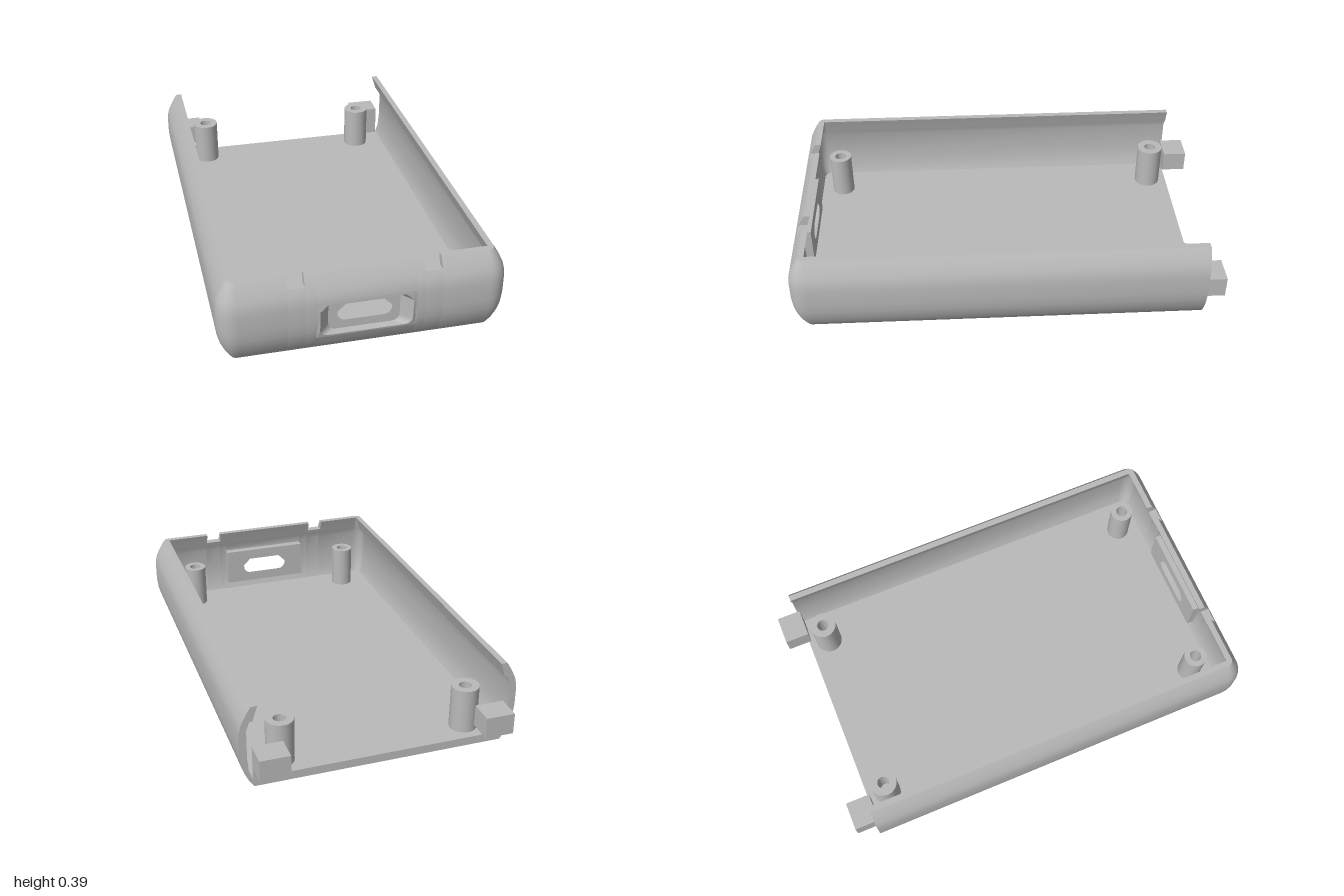
import * as THREE from 'three';
import { toCreasedNormals } from 'three/addons/utils/BufferGeometryUtils.js';

const AX = 0.547, AZ = 0.917, BACK = -0.9, TOP = 0.39, FLOOR = 0.04;

// Wall cross-section as [height, distance outward from the inner rim line]
const OUTER = [[0, 0.023], [0.02, 0.037], [0.04, 0.049], [0.08, 0.067], [0.12, 0.078], [0.17, 0.083],
  [0.25, 0.083], [0.28, 0.08], [0.31, 0.072], [0.345, 0.055], [0.37, 0.041], [TOP, 0.028]];
const INNER = [[0, 0], [FLOOR, 0], [FLOOR, 0.03], [0.08, 0.044], [0.15, 0.05], [0.28, 0.05],
  [0.32, 0.035], [0.32, 0.022], [0.36, 0.01], [TOP, 0]];

function distanceAt(line, y) {
  for (let i = 1; i < line.length; i++) {
    const [ya, da] = line[i - 1], [yb, db] = line[i];
    if (y <= yb && yb > ya) return da + (db - da) * (y - ya) / (yb - ya);
  }
  return line[line.length - 1][1];
}

function clip(line, y0, y1) {
  const inside = line.filter(([y]) => y > y0 && y < y1);
  return [[y0, distanceAt(line, y0)], ...inside, [y1, distanceAt(line, y1)]]
    .map(([y, d]) => new THREE.Vector2(d, y));
}

const section = (y0, y1) => [...clip(OUTER, y0, y1), ...clip(INNER, y0, y1).reverse()];

// Straight piece of wall between two heights
function wallPiece(length, y0 = 0, y1 = TOP) {
  return new THREE.ExtrudeGeometry(new THREE.Shape(section(y0, y1)), { depth: length, bevelEnabled: false });
}

// Port outline: chamfered top corners, rounded bottom corners
function portPoints(x0, x1, y0, y1, c) {
  const pts = [[x0, y1 - c], [x0 + c, y1], [x1 - c, y1], [x1, y1 - c]];
  for (let i = 0; i <= 6; i++) {
    const a = -i * Math.PI / 12;
    pts.push([x1 - c + c * Math.cos(a), y0 + c + c * Math.sin(a)]);
  }
  for (let i = 0; i <= 6; i++) {
    const a = -Math.PI / 2 - i * Math.PI / 12;
    pts.push([x0 + c + c * Math.cos(a), y0 + c + c * Math.sin(a)]);
  }
  return pts.map(([x, y]) => new THREE.Vector2(x, y));
}

function rectShape(x0, x1, y0, y1) {
  return new THREE.Shape([[x0, y0], [x1, y0], [x1, y1], [x0, y1]].map(p => new THREE.Vector2(...p)));
}

// Sloping band joining two matching outlines at different depths
function loft(a, za, b, zb) {
  const pos = [];
  for (let i = 0; i < a.length; i++) {
    const j = (i + 1) % a.length;
    const p = [[a[i], za], [a[j], za], [b[j], zb], [a[i], za], [b[j], zb], [b[i], zb]];
    p.forEach(([v, z]) => pos.push(v.x, v.y, typeof z === 'function' ? z(v.y) : z));
  }
  const g = new THREE.BufferGeometry();
  g.setAttribute('position', new THREE.Float32BufferAttribute(pos, 3));
  return g;
}

export function createModel() {
  const group = new THREE.Group();
  const grey = new THREE.MeshStandardMaterial({ name: 'grey plastic', color: 0xbababa });
  const greyOpen = new THREE.MeshStandardMaterial({ name: 'grey plastic', color: 0xbababa, side: THREE.DoubleSide });
  const add = (name, geometry, material = grey) => {
    const mesh = new THREE.Mesh(toCreasedNormals(geometry, 0.5), material);
    mesh.name = name;
    group.add(mesh);
    return mesh;
  };
  const addBox = (name, x0, x1, y0, y1, z0, z1) => add(name,
    new THREE.BoxGeometry(x1 - x0, y1 - y0, z1 - z0).translate((x0 + x1) / 2, (y0 + y1) / 2, (z0 + z1) / 2));

  // Floor plate
  addBox('floor', -AX, AX, 0, FLOOR, BACK, AZ);

  // Long side walls
  add('leftWall', wallPiece(AZ - BACK).translate(AX, 0, BACK));
  add('rightWall', wallPiece(AZ - BACK).rotateY(Math.PI).translate(-AX, 0, AZ));

  // Rounded front corners
  const loop = section(0, TOP);
  loop.push(loop[0].clone());
  add('leftCorner', new THREE.LatheGeometry(loop, 12, 0, Math.PI / 2).translate(AX, 0, AZ));
  add('rightCorner', new THREE.LatheGeometry(loop, 12, -Math.PI / 2, Math.PI / 2).translate(-AX, 0, AZ));

  // Front wall, in pieces around the two rim notches and the port
  const [px0, px1, py0, py1] = [-0.215, 0.22, 0.08, 0.265];
  const pieces = [[-AX, -0.335], [-0.335, -0.26, 0, 0.34], [-0.26, px0], [px0, px1, 0, py0],
    [px0, px1, py1, TOP], [px1, 0.257], [0.257, 0.333, 0, 0.34], [0.333, AX]];
  for (const [x0, x1, y0, y1] of pieces) {
    add('frontWall', wallPiece(x1 - x0, y0, y1).rotateY(-Math.PI / 2).translate(x1, 0, AZ));
  }

  // Port surround, with its front following the wall curve
  const frontZ = y => AZ + distanceAt(OUTER, y);
  const mouth = portPoints(-0.2, 0.205, 0.09, 0.255, 0.034);
  const throat = portPoints(-0.155, 0.16, 0.09, 0.255, 0.034);
  const surround = rectShape(px0, px1, py0, py1);
  surround.holes.push(new THREE.Path(mouth));
  const frame = new THREE.ExtrudeGeometry(surround, { depth: 0.06, bevelEnabled: false }).translate(0, 0, 0.93);
  const p = frame.attributes.position;
  for (let i = 0; i < p.count; i++) if (p.getZ(i) > 0.96) p.setZ(i, frontZ(p.getY(i)));
  add('portSurround', frame);
  add('portRecess', loft(mouth, frontZ, throat, 0.95), greyOpen);

  // Port back plate with the cable opening
  const plate = new THREE.Shape(mouth);
  plate.holes.push(new THREE.Path(portPoints(-0.115, 0.125, 0.13, 0.212, 0.036)));
  add('portPlate', new THREE.ExtrudeGeometry(plate, { depth: 0.02, bevelEnabled: false }).translate(0, 0, 0.93));

  // Screw posts with blind holes
  for (const x of [-0.433, 0.427]) {
    for (const [z, r] of [[-0.8, 0.063], [0.837, 0.055]]) {
      const profile = [[r, FLOOR], [r, 0.25], [0.028, 0.25], [0.028, 0.1], [0, 0.1]];
      add('screwPost', new THREE.LatheGeometry(profile.map(q => new THREE.Vector2(...q)), 28).translate(x, 0, z));
    }
  }

  // Rear lugs: solid top, drilled lower half, and a support down to the floor
  for (const [x0, x1, side] of [[-0.578, -0.445, -1], [0.437, 0.572, 1]]) {
    addBox('rearLug', x0, x1, 0.15, 0.19, -1, -0.885);
    const lower = rectShape(x0, x1, 0.885, 1);
    lower.holes.push(new THREE.Path().absarc((x0 + x1) / 2, 0.95, 0.02, 0, Math.PI * 2, true));
    add('rearLugDrilled', new THREE.ExtrudeGeometry(lower, { depth: 0.06, bevelEnabled: false, curveSegments: 20 })
      .rotateX(-Math.PI / 2).translate(0, 0.09, 0));
    const s = side < 0 ? x0 : x1 - 0.06;
    addBox('lugSupport', s, s + 0.06, 0.03, 0.15, BACK, -0.885);
  }
  return group;
}
